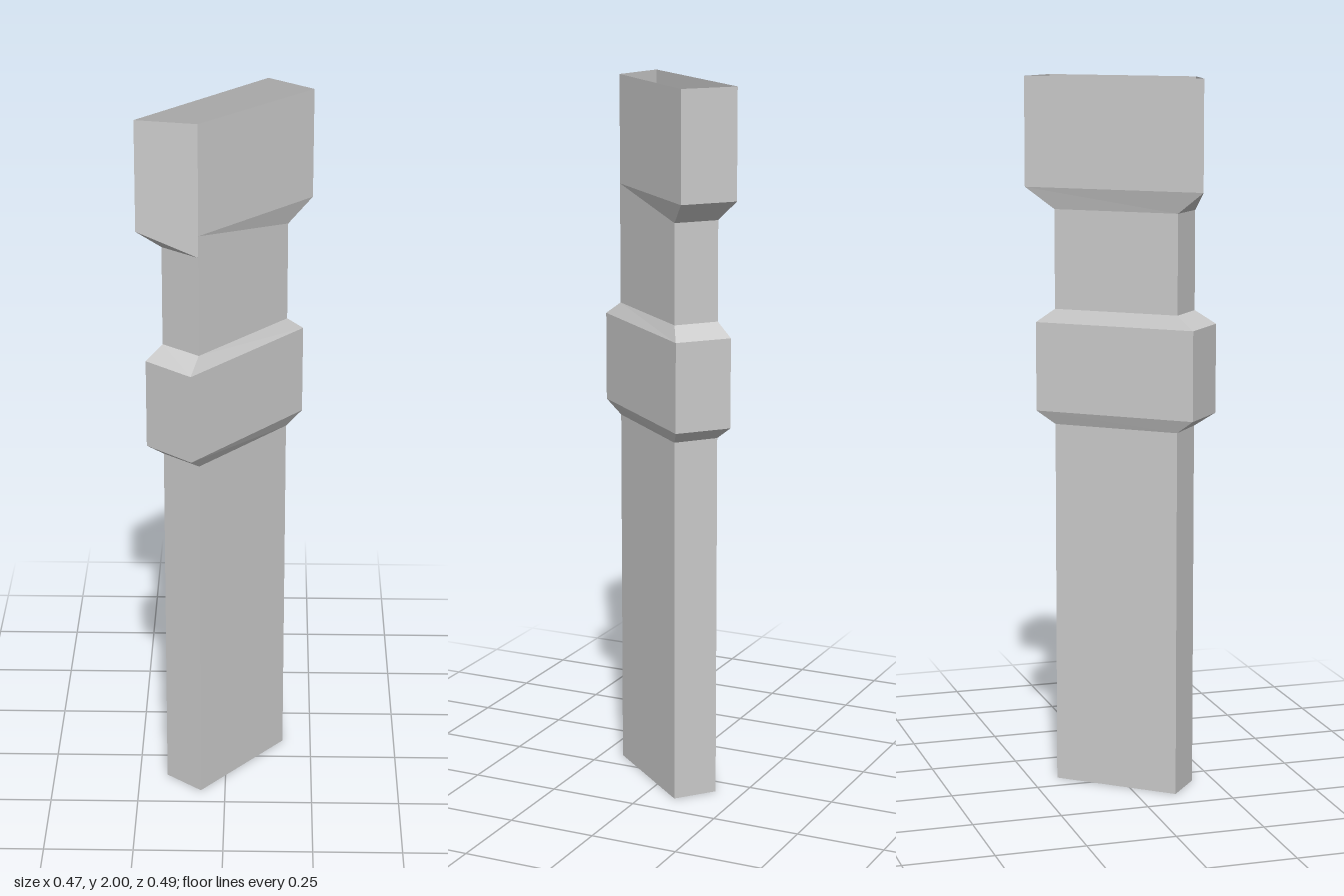
import * as THREE from 'three';

// Corner loops [x, z] of the slanted rectangular sections
const SHAFT = [[0.068, -0.173], [0.167, -0.09], [-0.07, 0.19], [-0.17, 0.107]];
const BAND = [[0.09, -0.222], [0.212, -0.115], [-0.09, 0.246], [-0.215, 0.137]];
// The head flares at three corners; the front corner stays flush with the shaft
const HEAD = [[0.11, -0.246], [0.234, -0.14], [-0.07, 0.19], [-0.236, 0.157]];

const material = new THREE.MeshStandardMaterial({
  color: 0xcccccc, flatShading: true, side: THREE.DoubleSide,
});

// Open tube joining a stack of [height, loop] sections
function tube(name, sections) {
  const positions = [];
  const put = (s, i) => {
    const [y, loop] = s;
    const [x, z] = loop[i % loop.length];
    positions.push(x, y, z);
  };
  for (let k = 0; k < sections.length - 1; k++) {
    const low = sections[k], high = sections[k + 1];
    for (let i = 0; i < 4; i++) {
      put(low, i); put(high, i); put(high, i + 1);
      put(low, i); put(high, i + 1); put(low, i + 1);
    }
  }
  const geometry = new THREE.BufferGeometry();
  geometry.setAttribute('position', new THREE.Float32BufferAttribute(positions, 3));
  geometry.computeVertexNormals();
  const mesh = new THREE.Mesh(geometry, material);
  mesh.name = name;
  return mesh;
}

export function createModel() {
  const group = new THREE.Group();
  group.name = 'hollowPost';
  group.add(
    tube('shaft', [[0, SHAFT], [1.035, SHAFT]]),
    // Bevelled band around the middle
    tube('band', [[1.035, SHAFT], [1.072, BAND], [1.322, BAND], [1.36, SHAFT]]),
    tube('neck', [[1.36, SHAFT], [1.637, SHAFT]]),
    // Flared open head
    tube('head', [[1.637, SHAFT], [1.697, HEAD], [2, HEAD]]),
  );
  return group;
}
